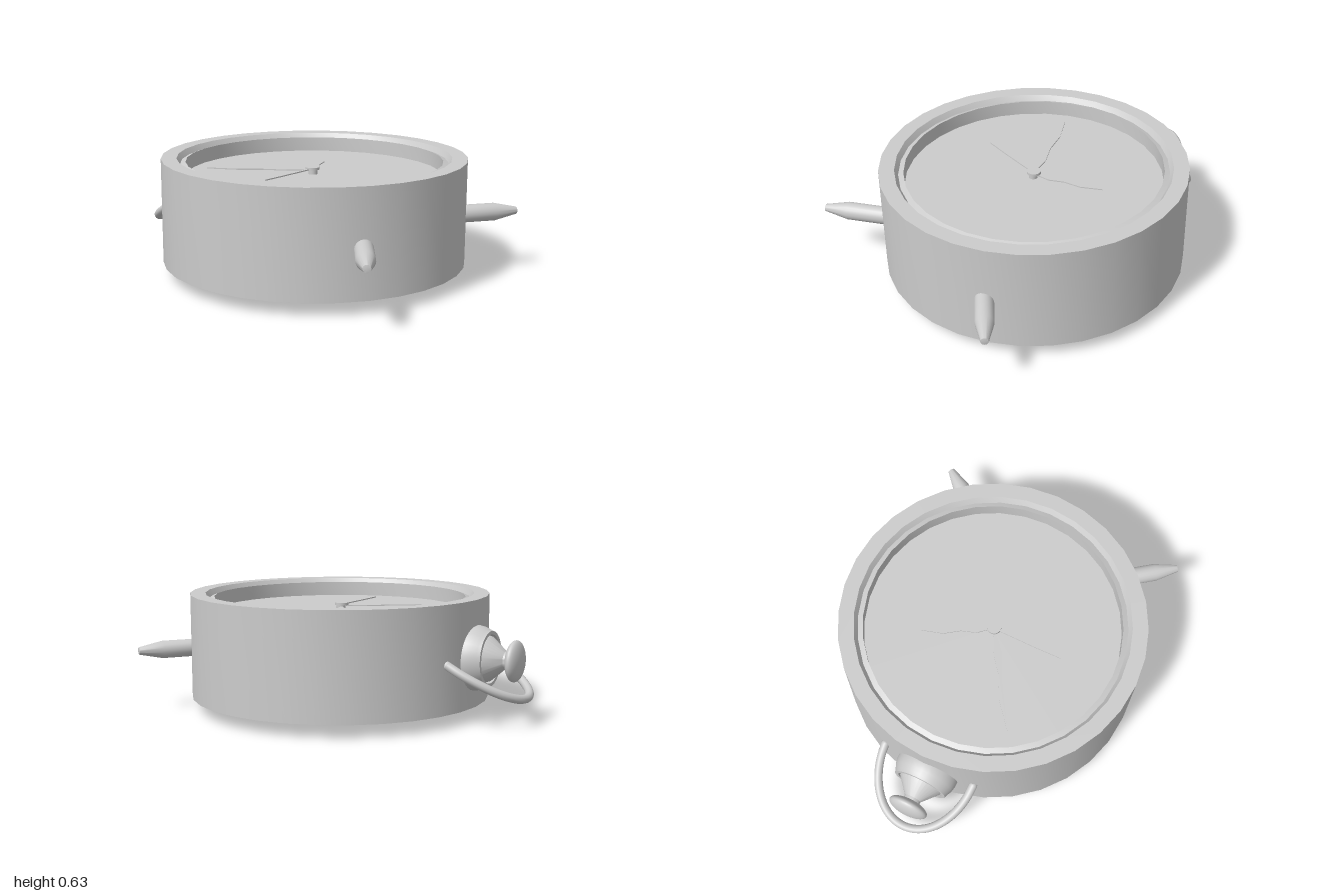
import * as THREE from 'three';
import { toCreasedNormals } from 'three/addons/utils/BufferGeometryUtils.js';

const material = new THREE.MeshStandardMaterial({ color: 0xcccccc, side: THREE.DoubleSide });

function add(parent, name, geometry, x = 0, y = 0, z = 0) {
  const mesh = new THREE.Mesh(geometry, material);
  mesh.name = name;
  mesh.position.set(x, y, z);
  parent.add(mesh);
  return mesh;
}

// Turned part from [radius, height] pairs, with crisp edges
function turned(profile, segments) {
  const points = profile.map(([r, h]) => new THREE.Vector2(r, h));
  return toCreasedNormals(new THREE.LatheGeometry(points, segments), 0.5);
}

// Flat pointed hand from [half width, distance] pairs, lying down and pointing to -z
function handGeometry(outline, length) {
  const right = outline.map(([w, d]) => new THREE.Vector2(w, d * length));
  const left = outline.map(([w, d]) => new THREE.Vector2(-w, d * length)).reverse();
  const shape = new THREE.Shape([...right, new THREE.Vector2(0, length), ...left]);
  return new THREE.ExtrudeGeometry(shape, { depth: 0.006, bevelEnabled: false }).rotateX(-Math.PI / 2);
}

export function createModel() {
  const group = new THREE.Group();
  const midY = 0.335, centreZ = 0.12, hubX = -0.01;

  // Case with stepped rim and recessed dial
  add(group, 'case', turned([
    [0, 0.07], [0.82, 0.07], [0.82, 0.635], [0.737, 0.635],
    [0.718, 0.605], [0.69, 0.615], [0.69, 0.535], [0, 0.535],
  ], 32), 0, 0, centreZ);

  // Spindle poking out below, and the hub on the dial
  add(group, 'spindle', new THREE.CylinderGeometry(0.024, 0.024, 0.56, 16), hubX, 0.28, centreZ);
  add(group, 'hub', new THREE.CylinderGeometry(0.038, 0.038, 0.014, 20), hubX, 0.566, centreZ - 0.005);

  // Hands: outline, tip offset in x and z, height
  const spade = [[0.008, 0], [0.008, 0.1], [0.022, 0.24], [0.009, 0.46], [0.022, 0.7]];
  const hands = [
    ['minuteHand', spade, -0.31, -0.485, 0.553],
    ['hourHand', spade, 0.345, -0.18, 0.546],
    ['secondHand', [[0.007, 0], [0.005, 0.6]], -0.39, -0.005, 0.56],
  ];
  for (const [name, outline, dx, dz, y] of hands) {
    const hand = add(group, name, handGeometry(outline, Math.hypot(dx, dz)), hubX, y, centreZ - 0.005);
    hand.rotation.y = Math.atan2(-dx, -dz);
  }

  // Splayed feet with tapered ends
  const footGeometry = turned([[0, -0.42], [0.048, -0.42], [0.048, -0.13], [0.02, 0], [0, 0.004]], 20);
  for (const side of [-1, 1]) {
    const foot = add(group, side > 0 ? 'leftFoot' : 'rightFoot', footGeometry,
      side * 0.715 - 0.03, 0.33, 0.98);
    const direction = new THREE.Vector3(side * 0.8, 0, 0.6).normalize();
    foot.quaternion.setFromUnitVectors(new THREE.Vector3(0, 1, 0), direction);
  }

  // Winding crown: hollow collar, cone and rounded button, pointing back
  const crown = new THREE.Group();
  crown.name = 'crown';
  crown.position.set(-0.008, midY - 0.005, 0);
  crown.rotation.x = -Math.PI / 2;
  group.add(crown);
  add(crown, 'collar', turned([
    [0.172, 0.64], [0.172, 0.7], [0.165, 0.735], [0.153, 0.76], [0.147, 0.778], [0.128, 0.778], [0.128, 0.7], [0, 0.7],
  ], 32));
  add(crown, 'cone', turned([[0.135, 0.7], [0.118, 0.775], [0.046, 0.86], [0.042, 0.91]], 32));
  add(crown, 'button', new THREE.SphereGeometry(0.109, 32, 20).scale(1, 0.37, 1), 0, 0.912, 0);

  // Bow: half ellipse of tube, tipped down at the back
  const bowPoints = [];
  for (let i = 0; i <= 16; i++) {
    const a = (i / 16) * Math.PI;
    const s = Math.sin(a);
    bowPoints.push(new THREE.Vector3(0.262 * Math.cos(a), midY - 0.01 - 0.18 * s, -0.655 - 0.327 * s));
  }
  const bowCurve = new THREE.CatmullRomCurve3(bowPoints);
  const bow = new THREE.Group();
  bow.name = 'bow';
  group.add(bow);
  add(bow, 'bowTube', new THREE.TubeGeometry(bowCurve, 48, 0.023, 12));
  for (const p of [bowPoints[0], bowPoints[16]]) {
    add(bow, 'bowEnd', new THREE.SphereGeometry(0.023, 12, 8), p.x, p.y, p.z);
  }

  return group;
}
